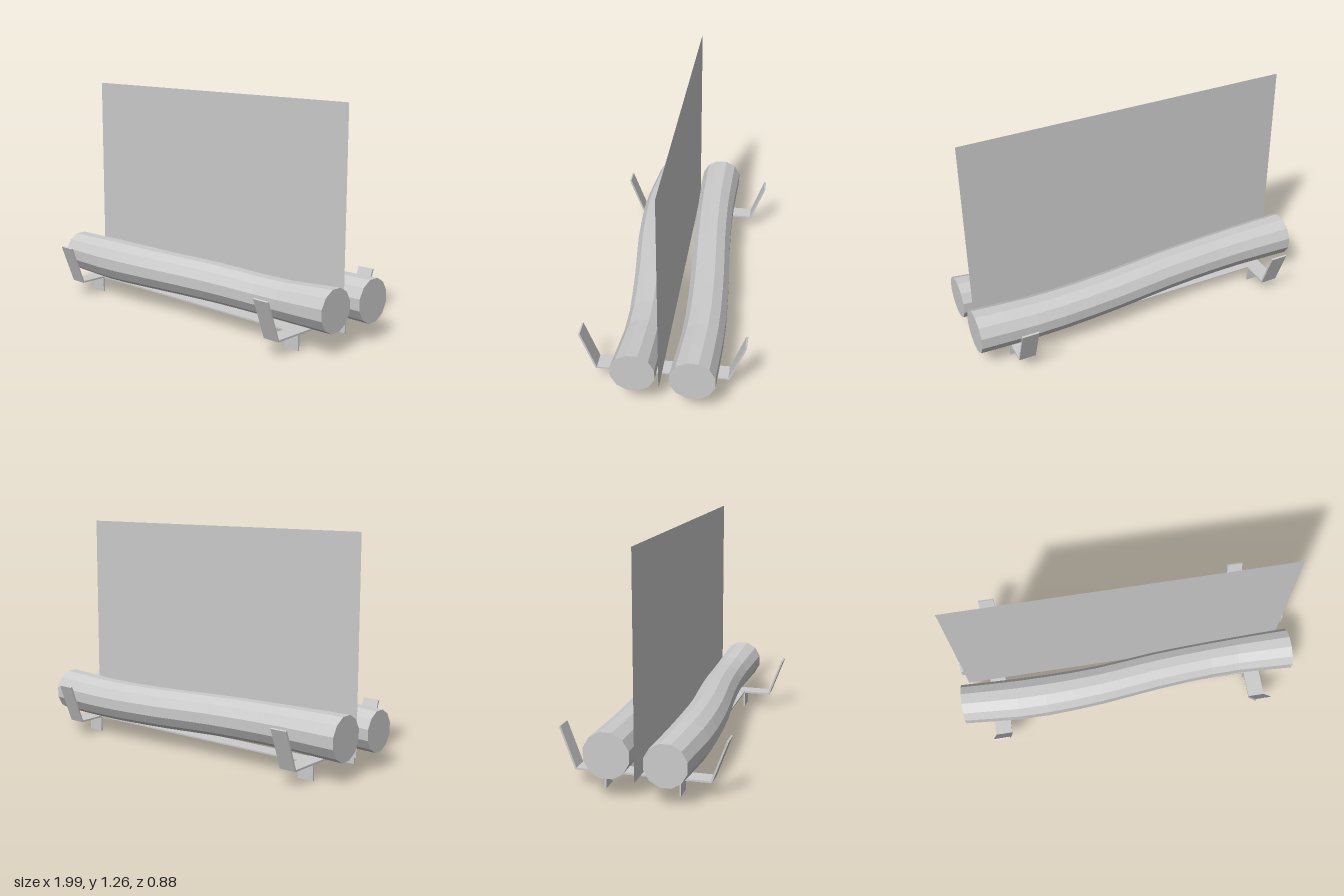
import * as THREE from 'three';

const mat = new THREE.MeshStandardMaterial({ color: 0xcccccc });
const woodMat = new THREE.MeshStandardMaterial({ color: 0xcccccc, flatShading: true });
const sheetMat = new THREE.MeshStandardMaterial({ color: 0xcccccc, side: THREE.DoubleSide });

function box(parent, name, size, pos) {
  const mesh = new THREE.Mesh(new THREE.BoxGeometry(...size), mat);
  mesh.name = name;
  mesh.position.set(...pos);
  parent.add(mesh);
  return mesh;
}

// Twelve-sided log bent along stations of [x, y, z, radius]
function makeLog(name, stations) {
  const path = new THREE.CatmullRomCurve3(
    stations.map(([x, y, z]) => new THREE.Vector3(x, y, z)), false, 'catmullrom');
  const girth = new THREE.SplineCurve(stations.map(([x, , , r]) => new THREE.Vector2(x, r)));
  const geo = new THREE.CylinderGeometry(1, 1, 1, 12, 12);
  geo.rotateY(Math.PI / 12).rotateZ(-Math.PI / 2);
  const p = geo.attributes.position;
  for (let i = 0; i < p.count; i++) {
    const t = THREE.MathUtils.clamp(p.getX(i) + 0.5, 0, 1);
    const c = path.getPoint(t);
    const r = girth.getPoint(t).y;
    p.setXYZ(i, c.x, c.y + p.getY(i) * r, c.z + p.getZ(i) * r);
  }
  geo.computeVertexNormals();
  const mesh = new THREE.Mesh(geo, woodMat);
  mesh.name = name;
  return mesh;
}

// Flat crossbar with two short legs and two outward-leaning arms
function makeBracket(x) {
  const g = new THREE.Group();
  g.name = 'bracket';
  g.position.x = x;
  const w = 0.094, th = 0.01;
  box(g, 'crossbar', [w, th, 0.715], [0, 0.09, 0]);
  for (const s of [-1, 1]) {
    box(g, 'leg', [w, 0.09, th], [0, 0.045, s * 0.197]);
    const dy = 0.222, dz = 0.083;
    const arm = box(g, 'arm', [w, Math.hypot(dy, dz), th], [0, 0.088 + dy / 2, s * (0.354 + dz / 2)]);
    arm.rotation.x = s * Math.atan2(dz, dy);
  }
  return g;
}

export function createModel() {
  const model = new THREE.Group();
  model.name = 'logRack';

  // Stand: two brackets joined by flat rails
  const stand = new THREE.Group();
  stand.name = 'stand';
  stand.add(makeBracket(-0.786), makeBracket(0.761));
  for (const s of [-1, 1]) {
    box(stand, 'rail', [1.455, 0.008, 0.095], [-0.0125, 0.09, s * 0.15]);
  }
  model.add(stand);

  // Logs
  model.add(makeLog('frontLog', [
    [-0.995, 0.215, 0.167, 0.115], [-0.6, 0.222, 0.19, 0.122], [-0.2, 0.228, 0.18, 0.115],
    [0.2, 0.225, 0.14, 0.111], [0.6, 0.217, 0.117, 0.107], [0.985, 0.235, 0.127, 0.119],
  ]));
  model.add(makeLog('backLog', [
    [-0.985, 0.235, -0.137, 0.123], [-0.6, 0.236, -0.138, 0.115], [-0.2, 0.232, -0.155, 0.113],
    [0.2, 0.22, -0.183, 0.114], [0.6, 0.215, -0.197, 0.116], [0.99, 0.222, -0.182, 0.122],
  ]));

  // Upright flame sheet between the logs
  const sheet = new THREE.Mesh(new THREE.PlaneGeometry(1.9, 1.16), sheetMat);
  sheet.name = 'flameSheet';
  sheet.position.set(-0.012, 0.68, 0);
  model.add(sheet);

  return model;
}
